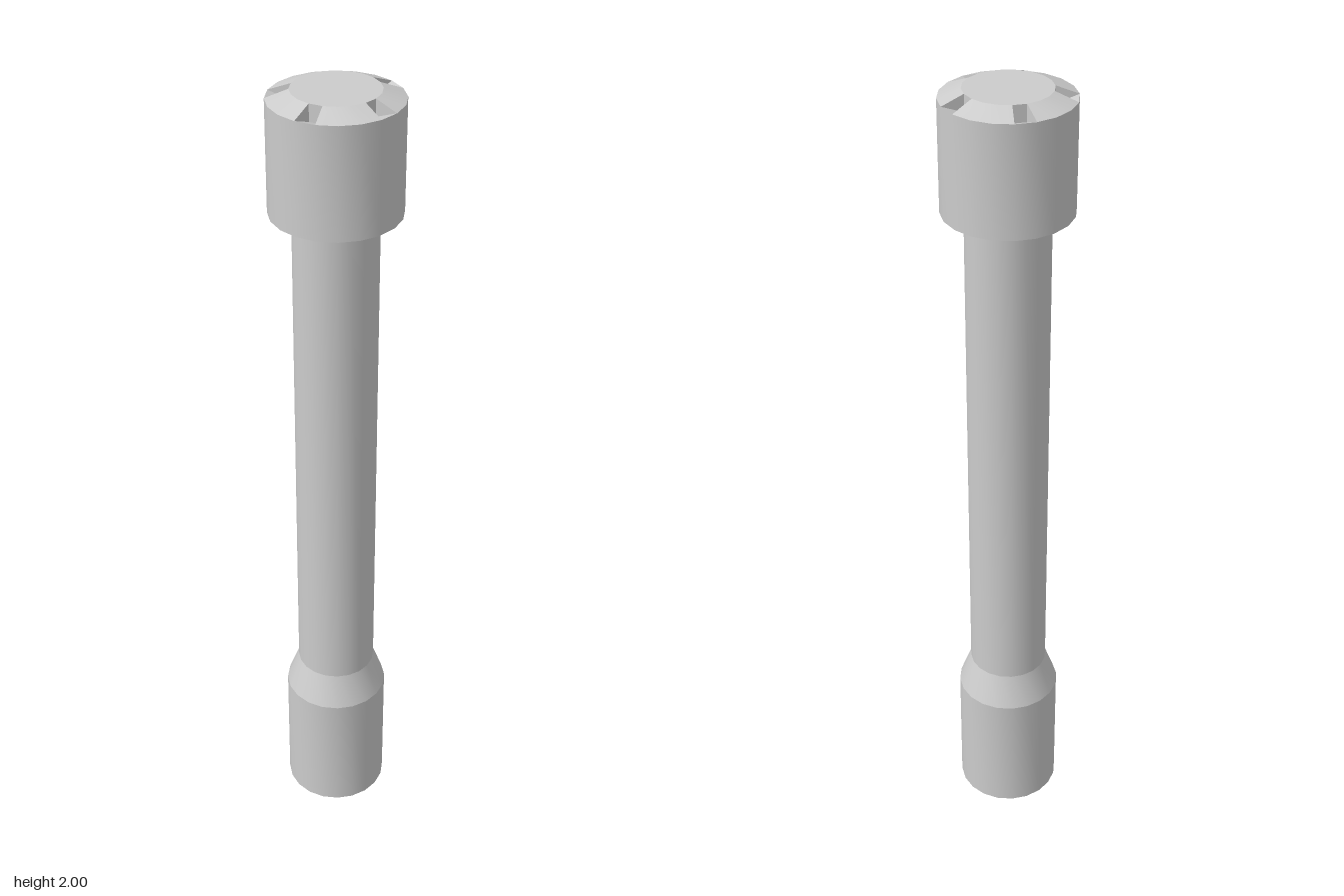
import * as THREE from 'three';
import { toCreasedNormals } from 'three/addons/utils/BufferGeometryUtils.js';

const SIDES = 20;
const CREASE = 0.33; // smooth around the barrel, sharp at every ring edge
const material = new THREE.MeshStandardMaterial({ color: 0xcccccc, side: THREE.DoubleSide });

function makeMesh(name, geometry) {
  const mesh = new THREE.Mesh(toCreasedNormals(geometry, CREASE), material);
  mesh.name = name;
  return mesh;
}

function lathe(name, profile) {
  const points = profile.map(([r, y]) => new THREE.Vector2(r, y));
  return makeMesh(name, new THREE.LatheGeometry(points, SIDES));
}

// Bevelled cap: every fourth bevel face is sunk into a notch sloping inwards
function capGeometry(outerR, innerR, rimY, topY, notchY) {
  const positions = [];
  const at = (r, i, y) => {
    const a = (i / SIDES) * Math.PI * 2;
    return [r * Math.cos(a), y, r * Math.sin(a)];
  };
  const tri = (a, b, c) => positions.push(...a, ...b, ...c);
  const quad = (a, b, c, d) => { tri(a, b, c); tri(a, c, d); };

  for (let i = 0; i < SIDES; i++) {
    const notched = i % 4 === 2;
    const floorY = notched ? notchY : topY;
    const out0 = at(outerR, i, rimY), out1 = at(outerR, i + 1, rimY);
    const top0 = at(innerR, i, topY), top1 = at(innerR, i + 1, topY);
    const low0 = at(innerR, i, floorY), low1 = at(innerR, i + 1, floorY);

    tri([0, topY, 0], top1, top0);   // flat top
    quad(out0, low0, low1, out1);    // bevel or notch floor
    if (notched) {
      quad(low0, top0, top1, low1);  // inner wall
      tri(out0, top0, low0);         // side walls
      tri(out1, low1, top1);
    }
  }
  const geometry = new THREE.BufferGeometry();
  geometry.setAttribute('position', new THREE.Float32BufferAttribute(positions, 3));
  return geometry;
}

export function createModel() {
  const model = new THREE.Group();
  model.name = 'shaftWithNotchedHead';

  // Hollow base open at the bottom, tapering into the shaft
  model.add(lathe('base', [[0.13, 0], [0.13, 0.34], [0.099, 0.425]]));
  model.add(lathe('shaft', [[0.099, 0.425], [0.099, 1.703]]));

  // Wider head with a shallow underside bevel and a notched cap
  const head = new THREE.Group();
  head.name = 'head';
  head.add(lathe('headBody', [[0.099, 1.703], [0.152, 1.718], [0.152, 1.98]]));
  head.add(makeMesh('notchedCap', capGeometry(0.152, 0.1, 1.98, 2, 1.96)));
  model.add(head);

  return model;
}
